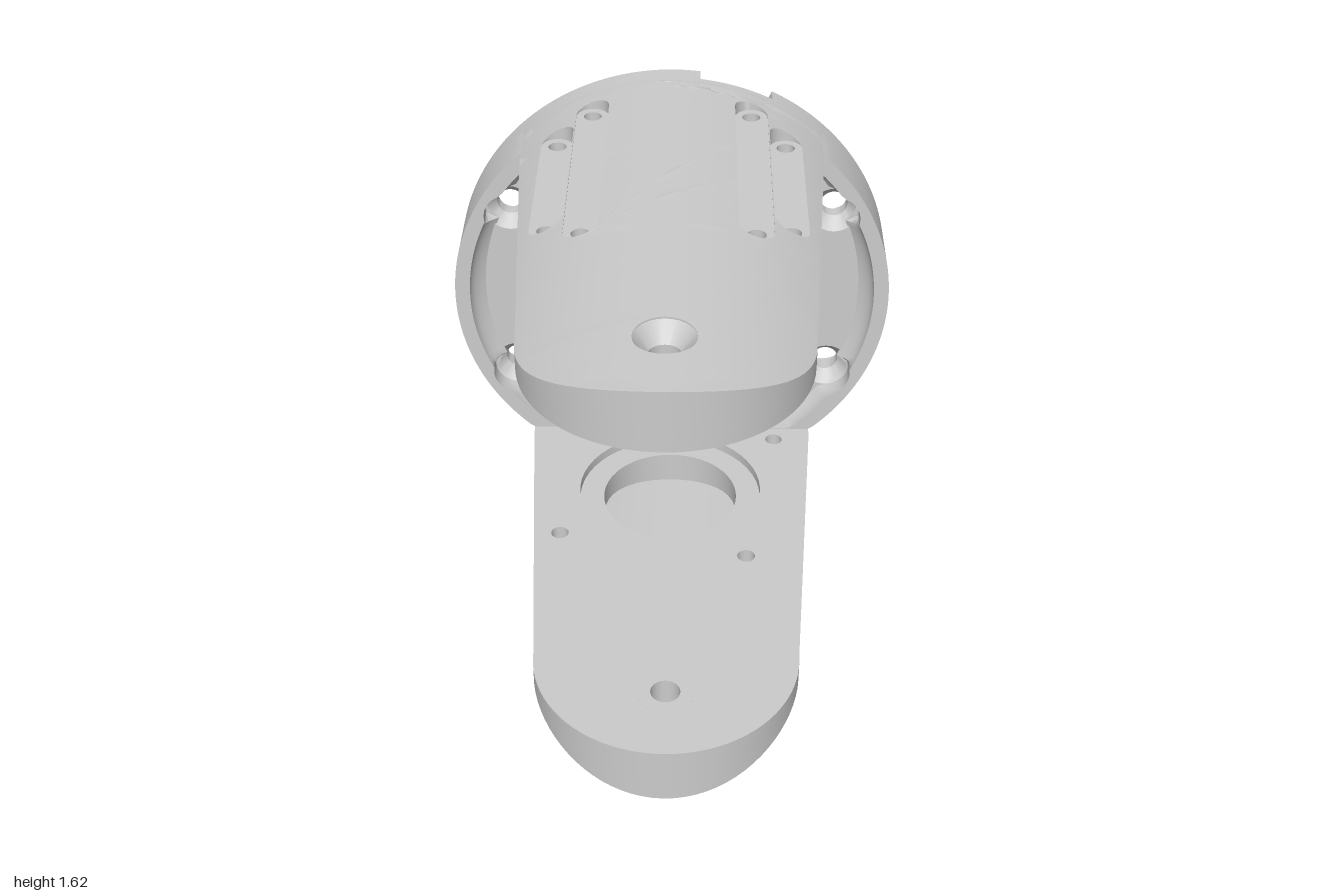
import * as THREE from 'three';
import { toCreasedNormals } from 'three/addons/utils/BufferGeometryUtils.js';

const R = 0.8125;      // outer radius
const FLAT = 0.605;    // inner faces of the arms, from the axis
const MAX_EDGE = 0.07;
const material = new THREE.MeshStandardMaterial({ color: 0xcccccc, side: THREE.DoubleSide });
const V2 = (x, y) => new THREE.Vector2(x, y);

// Outline helpers
function polar(radius, t0, t1, n) {
  return Array.from({ length: n + 1 }, (_, i) => {
    const t = t0 + ((t1 - t0) * i) / n, r = radius(t);
    return V2(r * Math.cos(t), r * Math.sin(t));
  });
}
function loop(radius, n = 200) {
  return polar(radius, 0, Math.PI * 2, n).slice(0, n);
}
function circle(x, z, r, n = 28) {
  return loop(() => r, n).map((p) => V2(p.x + x, p.y + z));
}
function stadium([x0, z0], [x1, z1], r) {
  const a = Math.atan2(z1 - z0, x1 - x0);
  const cap = (x, z, t) => polar(() => r, t - Math.PI / 2, t + Math.PI / 2, 12).map((p) => V2(p.x + x, p.y + z));
  return [...cap(x1, z1, a), ...cap(x0, z0, a + Math.PI)];
}
function dense(points) {
  return points.flatMap((p, i) => {
    const q = points[(i + 1) % points.length];
    const n = Math.max(1, Math.ceil(p.distanceTo(q) / MAX_EDGE));
    return Array.from({ length: n }, (_, k) => p.clone().lerp(q, k / n));
  });
}

function addMesh(group, name, geometry) {
  const mesh = new THREE.Mesh(geometry, material);
  mesh.name = name;
  group.add(mesh);
  return mesh;
}

// Slab over a plan outline (x, z) whose top and bottom heights follow rules
function slab(outline, holes, top, bottom) {
  const outer = dense(outline), inner = holes.map(dense);
  if (THREE.ShapeUtils.isClockWise(outer)) outer.reverse();
  inner.forEach((h) => { if (!THREE.ShapeUtils.isClockWise(h)) h.reverse(); });
  const all = [outer, ...inner].flat();
  const stack = THREE.ShapeUtils.triangulateShape(outer, inner).map((f) => f.map((i) => all[i]));
  const pos = [];
  const put = (p, rule) => pos.push(p.x, rule(p.x), p.y);
  while (stack.length) {
    const tri = stack.pop();
    const len = tri.map((p, i) => p.distanceTo(tri[(i + 1) % 3]));
    const k = len.indexOf(Math.max(...len));
    const [a, b, c] = [tri[k], tri[(k + 1) % 3], tri[(k + 2) % 3]];
    if (len[k] > MAX_EDGE + 1e-4) {
      const m = a.clone().add(b).multiplyScalar(0.5);
      stack.push([a, m, c], [m, b, c]);
    } else if (Math.abs(b.clone().sub(a).cross(c.clone().sub(a))) > 1e-6) {
      [a, c, b].forEach((p) => put(p, top));
      [a, b, c].forEach((p) => put(p, bottom));
    }
  }
  for (const contour of [outer, ...inner]) {
    contour.forEach((a, i) => {
      const b = contour[(i + 1) % contour.length];
      put(a, bottom); put(a, top); put(b, top);
      put(a, bottom); put(b, top); put(b, bottom);
    });
  }
  const g = new THREE.BufferGeometry();
  g.setAttribute('position', new THREE.Float32BufferAttribute(pos, 3));
  return toCreasedNormals(g, 0.6);
}

// Flat layer of the round base, from z0 to z1
function layer(outline, holes, z0, z1, steps = 1) {
  const shape = new THREE.Shape(outline);
  shape.holes = holes.map((h) => new THREE.Path(h));
  const g = new THREE.ExtrudeGeometry(shape, { depth: z1 - z0, steps, bevelEnabled: false });
  return g.translate(0, 0, z0);
}

const crown = (x) => Math.sqrt(Math.max(R * R - x * x, FLAT * FLAT));
const flat = (h) => () => h;
const MID = 0.64;      // depth of the shallow pocket step
const middle = (x) => Math.min(MID, crown(x));

// One arm pointing up from the axis: grooves = [{from, to, floor}], screws at both ends
function buildArm(name, grooves, hasPocket) {
  const arm = new THREE.Group();
  arm.name = name;
  const tip = polar(() => 0.45, 0, Math.PI, 40).map((p) => V2(p.x, p.y + 0.55));
  const plan = [V2(-0.539, -0.7), V2(-0.539, -0.91), V2(0.539, -0.91), V2(0.539, -0.7), ...tip];
  const slots = grooves.map((g) => stadium(g.from, g.to, 0.058));
  const screwHoles = grooves.map((g) => [g.from, g.to].map(([x, z]) => circle(x, z, 0.032, 20)));
  const pivot = circle(0, 0.72, 0.095);

  // Inner skin, then the outer skin with the grooves
  const wide = circle(0, -0.36, 0.34, 48), deep = circle(0, -0.36, 0.25, 40);
  const innerCuts = [pivot, ...screwHoles.flat()], outerCuts = [pivot, ...slots];
  if (hasPocket) {
    innerCuts.push(wide);
    outerCuts.push(deep);
    addMesh(arm, 'pocketFloor', slab(deep, [], crown, (x) => crown(x) - 0.05));
  }
  addMesh(arm, 'innerSkin', slab(plan, innerCuts, middle, flat(FLAT)));
  addMesh(arm, 'outerSkin', slab(plan, outerCuts, crown, middle));
  grooves.forEach((g, i) => addMesh(arm, 'grooveFloor', slab(slots[i], screwHoles[i], flat(g.floor), flat(MID))));

  // Countersunk pivot hole near the tip
  const seat = [[0.095, FLAT], [0.05, FLAT], [0.05, 0.745], [0.095, 0.806]];
  const g = new THREE.LatheGeometry(seat.map(([r, y]) => V2(r, y)), 32);
  addMesh(arm, 'pivotSeat', toCreasedNormals(g, 0.5)).position.z = 0.72;
  return arm;
}

export function createModel() {
  const model = new THREE.Group();
  model.name = 'forkBracket';
  const body = new THREE.Group();
  body.name = 'body';
  body.position.y = R;
  model.add(body);

  // Upper arm: two straight grooves each side
  const upper = [1, -1].flatMap((s) => [
    { from: [s * 0.4, -0.67], to: [s * 0.4, -0.09], floor: 0.672 },
    { from: [s * 0.28, -0.78], to: [s * 0.28, 0.03], floor: 0.735 },
  ]);
  body.add(buildArm('upperArm', upper, false));

  // Lower arm: one slanting groove each side and a pocket, turned upside down
  const lower = [
    { from: [-0.4, -0.67], to: [-0.28, 0.03], floor: 0.67 },
    { from: [0.28, -0.78], to: [0.4, -0.09], floor: 0.67 },
  ];
  const lowerArm = buildArm('lowerArm', lower, true);
  lowerArm.rotation.z = Math.PI;
  body.add(lowerArm);

  // Radius rules: clipped circle, and one widened around the four screws
  const screws = [[1, 1], [-1, 1], [-1, -1], [1, -1]].map(([a, b]) => [a * 0.597, b * 0.345]);
  const clipped = (r, h) => (t) => Math.min(r, h / Math.max(1e-6, Math.abs(Math.sin(t))));
  const scalloped = (base, r, limit) => (t) => {
    let reach = base(t);
    for (const [x, y] of screws) {
      const along = x * Math.cos(t) + y * Math.sin(t);
      const off = x * Math.sin(t) - y * Math.cos(t);
      if (along > 0 && Math.abs(off) < r) reach = Math.max(reach, Math.min(limit, along + Math.sqrt(r * r - off * off)));
    }
    return reach;
  };

  // Front rim with a recess, filleted along both sides except at the screws
  const side = loop(clipped(R, FLAT + 0.002));
  const recess = loop(scalloped(clipped(0.757, 0.602), 0.09, 0.785));
  const rim = layer(side, [recess], -0.815, -0.74, 5);
  const p = rim.attributes.position;
  for (let i = 0; i < p.count; i++) {
    const x = p.getX(i), y = p.getY(i);
    const nearScrew = screws.some(([a, b]) => Math.hypot(x - a, y - b) < 0.1);
    if (nearScrew || Math.hypot(x, y) > 0.79 || Math.abs(y) > 0.6) continue;
    p.setX(i, x * (1 - 0.08 * ((-0.74 - p.getZ(i)) / 0.075) ** 2));
  }
  addMesh(body, 'frontRim', toCreasedNormals(rim, 0.6));

  // Web plate with four countersunk holes
  const plate = layer(side, screws.map(([x, y]) => circle(x, y, 0.09)), -0.91, -0.81);
  addMesh(body, 'webPlate', toCreasedNormals(plate, 0.6));
  for (const [x, y] of screws) {
    const seat = [[0.09, -0.91], [0.05, -0.91], [0.05, -0.86], [0.09, -0.81]].map(([r, z]) => V2(r, z));
    const g = new THREE.LatheGeometry(seat, 28).rotateX(Math.PI / 2);
    addMesh(body, 'screwSeat', toCreasedNormals(g, 0.5)).position.set(x, y, 0);
  }
  const ledge = addMesh(body, 'lowerLedge', new THREE.BoxGeometry(0.88, 0.1, 0.03));
  ledge.position.set(0, -0.55, -0.815);

  // Rear skirt: shallow cavity with flat sides and scallops behind the screws
  const hollow = (t) => Math.min(0.785, 0.53 / Math.max(1e-6, Math.abs(Math.cos(t))));
  const cavity = scalloped(hollow, 0.1, 0.785);
  const skirt = layer(loop(() => R), [loop(cavity)], -0.937, -0.91);
  addMesh(body, 'rearSkirt', toCreasedNormals(skirt, 0.6));

  // Rear edge, broken by notches at both sides, top and bottom
  const PI = Math.PI, so = Math.asin(0.115 / R), si = Math.atan(0.115 / 0.53);
  const at = (x) => Math.acos(x / R);
  const pieces = [
    [so, at(0.36), si, at(0.36)],
    [at(0.1), PI - so, at(0.1), PI - si],
    [PI + so, 2 * PI - at(-0.06), PI + si, 2 * PI - at(-0.06)],
    [2 * PI - at(0.18), 2 * PI - so, 2 * PI - at(0.18), 2 * PI - si],
  ];
  for (const [o0, o1, i0, i1] of pieces) {
    const outline = [...polar(() => R, o0, o1, 60), ...polar(cavity, i0, i1, 80).reverse()];
    addMesh(body, 'rearEdge', toCreasedNormals(layer(outline, [], -1, -0.937), 0.6));
  }
  return model;
}
